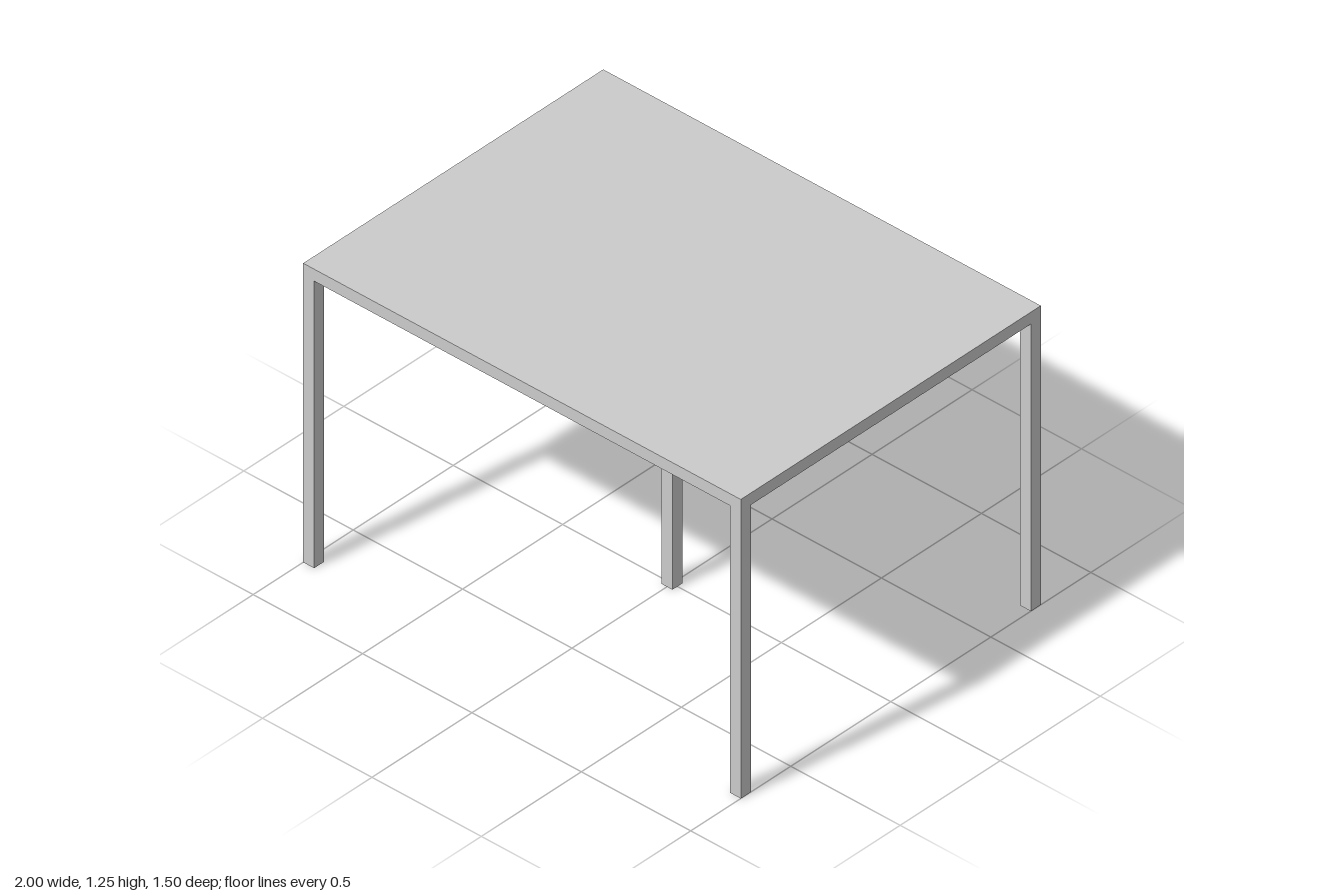
import * as THREE from 'three';

const WIDTH = 2, DEPTH = 1.5, LEG_HEIGHT = 1.2, TOP_THICKNESS = 0.05, LEG = 0.05;

export function createModel() {
  const group = new THREE.Group();
  group.name = 'table';
  const material = new THREE.MeshStandardMaterial({ color: 0xcccccc, flatShading: true });

  function addBox(name, w, h, d, x, y, z) {
    const mesh = new THREE.Mesh(new THREE.BoxGeometry(w, h, d), material);
    mesh.name = name;
    mesh.position.set(x, y, z);
    group.add(mesh);
  }

  // Flat slab top
  addBox('tableTop', WIDTH, TOP_THICKNESS, DEPTH, 0, LEG_HEIGHT + TOP_THICKNESS / 2, 0);

  // Four corner legs, flush with the edges of the top
  for (const [side, sx] of [['Left', 1], ['Right', -1]]) {
    for (const [end, sz] of [['front', 1], ['back', -1]]) {
      addBox(`${end}${side}Leg`, LEG, LEG_HEIGHT, LEG,
        sx * (WIDTH - LEG) / 2, LEG_HEIGHT / 2, sz * (DEPTH - LEG) / 2);
    }
  }

  // Central support leg
  addBox('centerLeg', LEG, LEG_HEIGHT, LEG, 0, LEG_HEIGHT / 2, 0);

  return group;
}
